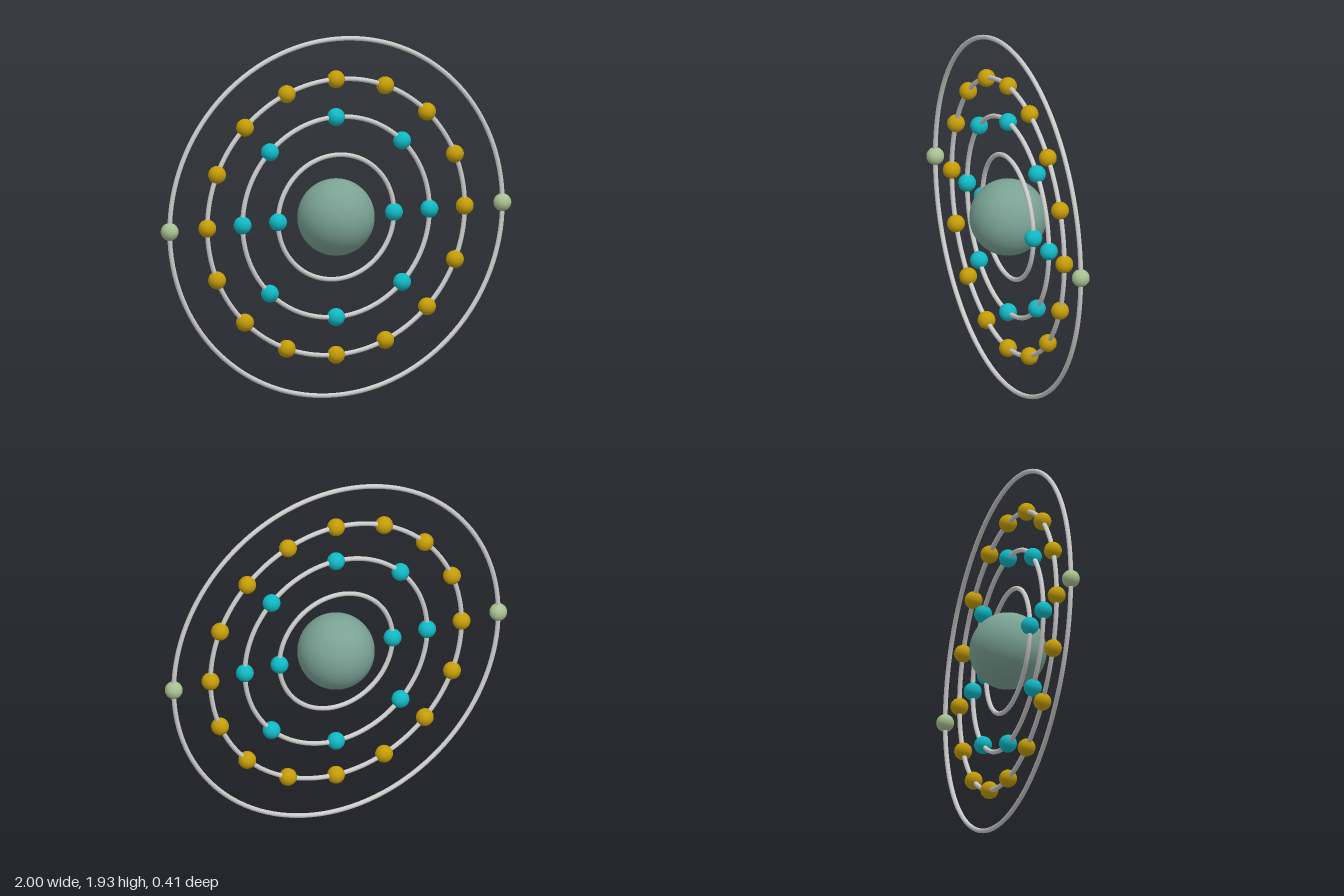
import * as THREE from 'three';

const CENTER_Y = 0.965;
const TUBE = 0.0125;
const BALL = 0.047;

// ring radius, number of electrons evenly spaced from +x, electron colour
const SHELLS = [
  { radius: 0.332, count: 2, color: 0x10b8c4 },
  { radius: 0.535, count: 8, color: 0x10b8c4 },
  { radius: 0.737, count: 16, color: 0xc49c08 },
  { radius: 0.9525, count: 2, color: 0xa8c090 },
];

export function createModel() {
  const model = new THREE.Group();
  model.name = 'atomModel';

  const atom = new THREE.Group();
  atom.name = 'atom';
  atom.position.y = CENTER_Y;
  model.add(atom);

  // Central nucleus
  const nucleus = new THREE.Mesh(
    new THREE.SphereGeometry(0.203, 48, 32),
    new THREE.MeshStandardMaterial({ color: 0x7aa294 })
  );
  nucleus.name = 'nucleus';
  atom.add(nucleus);

  const ringMaterial = new THREE.MeshStandardMaterial({ color: 0xcccccc });
  const ballGeometry = new THREE.SphereGeometry(BALL, 32, 20);

  // Concentric shells: a thin upright ring carrying its electrons
  SHELLS.forEach(({ radius, count, color }, i) => {
    const shell = new THREE.Group();
    shell.name = `shell${i + 1}`;
    atom.add(shell);

    const ring = new THREE.Mesh(new THREE.TorusGeometry(radius, TUBE, 12, 128), ringMaterial);
    ring.name = 'orbitRing';
    shell.add(ring);

    const material = new THREE.MeshStandardMaterial({ color });
    for (let k = 0; k < count; k++) {
      const angle = (k / count) * Math.PI * 2;
      const electron = new THREE.Mesh(ballGeometry, material);
      electron.name = 'electron';
      electron.position.set(radius * Math.cos(angle), radius * Math.sin(angle), 0);
      shell.add(electron);
    }
  });

  return model;
}
